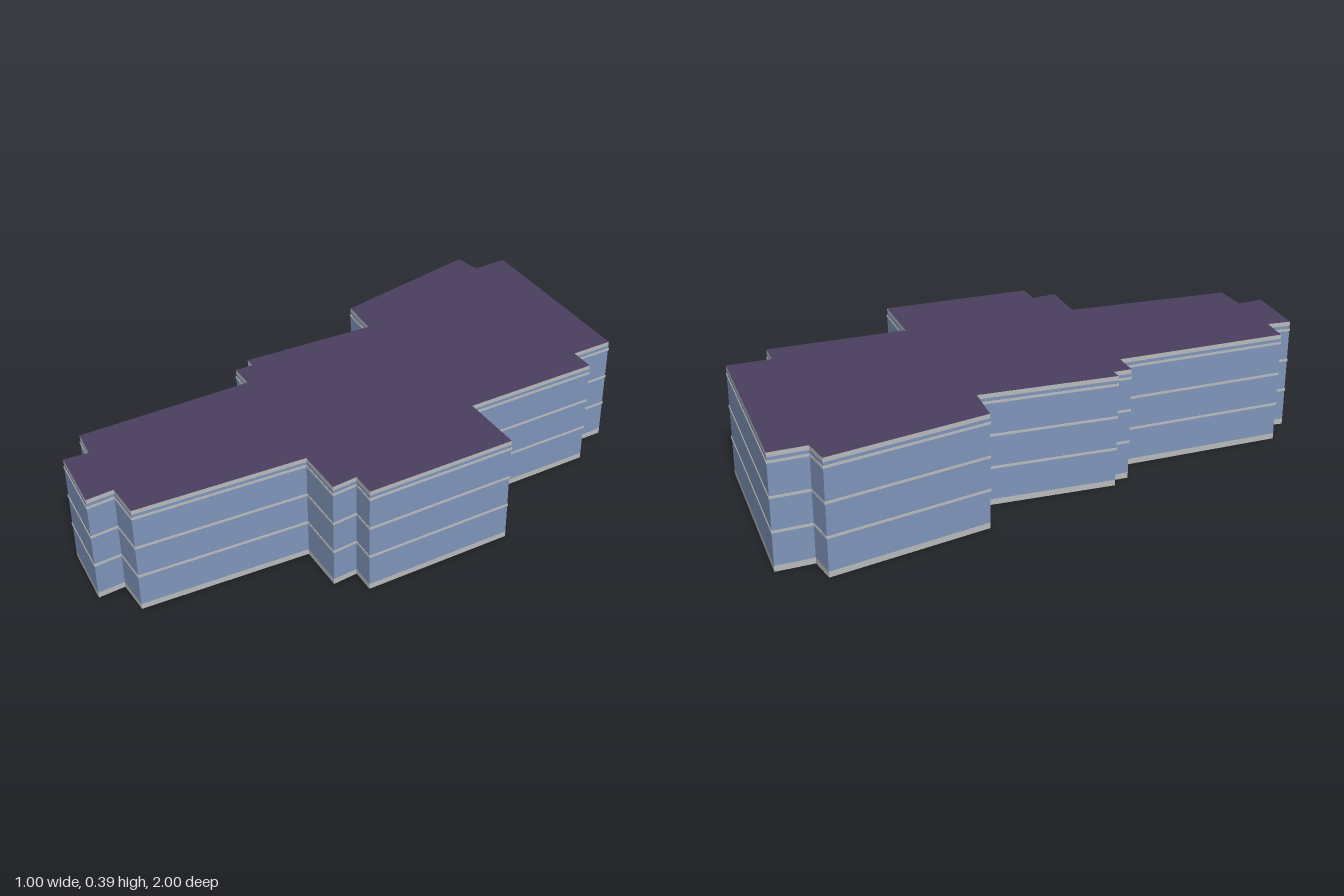
import * as THREE from 'three';

// Footprint corners [x, z], clockwise seen from above
const footprint = [
  [-0.39, -0.997], [0.273, -0.883], [0.253, -0.735], [0.339, -0.721], [0.273, -0.246],
  [0.497, -0.212], [0.424, 0.304], [0.341, 0.29], [0.336, 0.377], [0.167, 0.351],
  [0.057, 0.917], [-0.065, 0.903], [-0.072, 0.995], [-0.296, 0.946], [-0.277, 0.866],
  [-0.377, 0.842], [-0.297, 0.25], [-0.384, 0.236], [-0.375, 0.176], [-0.41, 0.17],
  [-0.325, -0.29], [-0.465, -0.32], [-0.498, -0.87], [-0.404, -0.872],
];
const HEIGHT = 0.387, BASE = 0.02, CORNICE = 0.372, FLOOR_BAND = 0.008;

// Move every footprint edge outwards by d and intersect neighbours
function offset(points, d) {
  const n = points.length;
  const normal = (a, b) => {
    const dx = b[0] - a[0], dz = b[1] - a[1], l = Math.hypot(dx, dz);
    return [dz / l, -dx / l];
  };
  return points.map((p, i) => {
    const m = normal(points[(i + n - 1) % n], p), k = normal(p, points[(i + 1) % n]);
    const s = d / (1 + m[0] * k[0] + m[1] * k[1]);
    return [p[0] + (m[0] + k[0]) * s, p[1] + (m[1] + k[1]) * s];
  });
}

// Flat-shaded vertical wall following the points between two heights
function wallGeometry(points, y0, y1) {
  const pos = [];
  points.forEach(([ax, az], i) => {
    const [bx, bz] = points[(i + 1) % points.length];
    pos.push(ax, y0, az, ax, y1, az, bx, y1, bz, ax, y0, az, bx, y1, bz, bx, y0, bz);
  });
  const geo = new THREE.BufferGeometry();
  geo.setAttribute('position', new THREE.Float32BufferAttribute(pos, 3));
  geo.computeVertexNormals();
  return geo;
}

const toVectors = (points) => points.map(([x, z]) => new THREE.Vector2(x, -z));

export function createModel() {
  const group = new THREE.Group();
  const glass = new THREE.MeshStandardMaterial({ name: 'blue glass', color: 0x7f95ba });
  const trim = new THREE.MeshStandardMaterial({ name: 'pale grey trim', color: 0xb8babb });
  const roof = new THREE.MeshStandardMaterial({ name: 'dark purple roof', color: 0x4a3f5f, side: THREE.DoubleSide });

  const add = (name, geometry, material) => {
    const mesh = new THREE.Mesh(geometry, material);
    mesh.name = name;
    group.add(mesh);
    return mesh;
  };

  // Outer facade: plinth, glazing and cornice
  add('plinth', wallGeometry(footprint, 0, BASE), trim);
  add('glazing', wallGeometry(footprint, BASE, CORNICE), glass);
  add('cornice', wallGeometry(footprint, CORNICE, HEIGHT), trim);

  // Slightly projecting floor bands
  [0.132, 0.244, 0.357].forEach((y, i) => {
    const ring = new THREE.Shape(toVectors(offset(footprint, 0.002)));
    ring.holes.push(new THREE.Path(toVectors(offset(footprint, -0.001))));
    const geo = new THREE.ExtrudeGeometry(ring, { depth: FLOOR_BAND, bevelEnabled: false });
    geo.rotateX(-Math.PI / 2);
    add('floorBand' + (i + 1), geo, trim).position.y = y - FLOOR_BAND / 2;
  });

  // Inner faces of the hollow shell
  add('innerWalls', wallGeometry(offset(footprint, -0.002).reverse(), 0, HEIGHT - 0.001), trim);

  // Flat roof
  const roofGeo = new THREE.ShapeGeometry(new THREE.Shape(toVectors(footprint)));
  roofGeo.rotateX(-Math.PI / 2);
  add('roof', roofGeo, roof).position.y = HEIGHT;

  return group;
}
